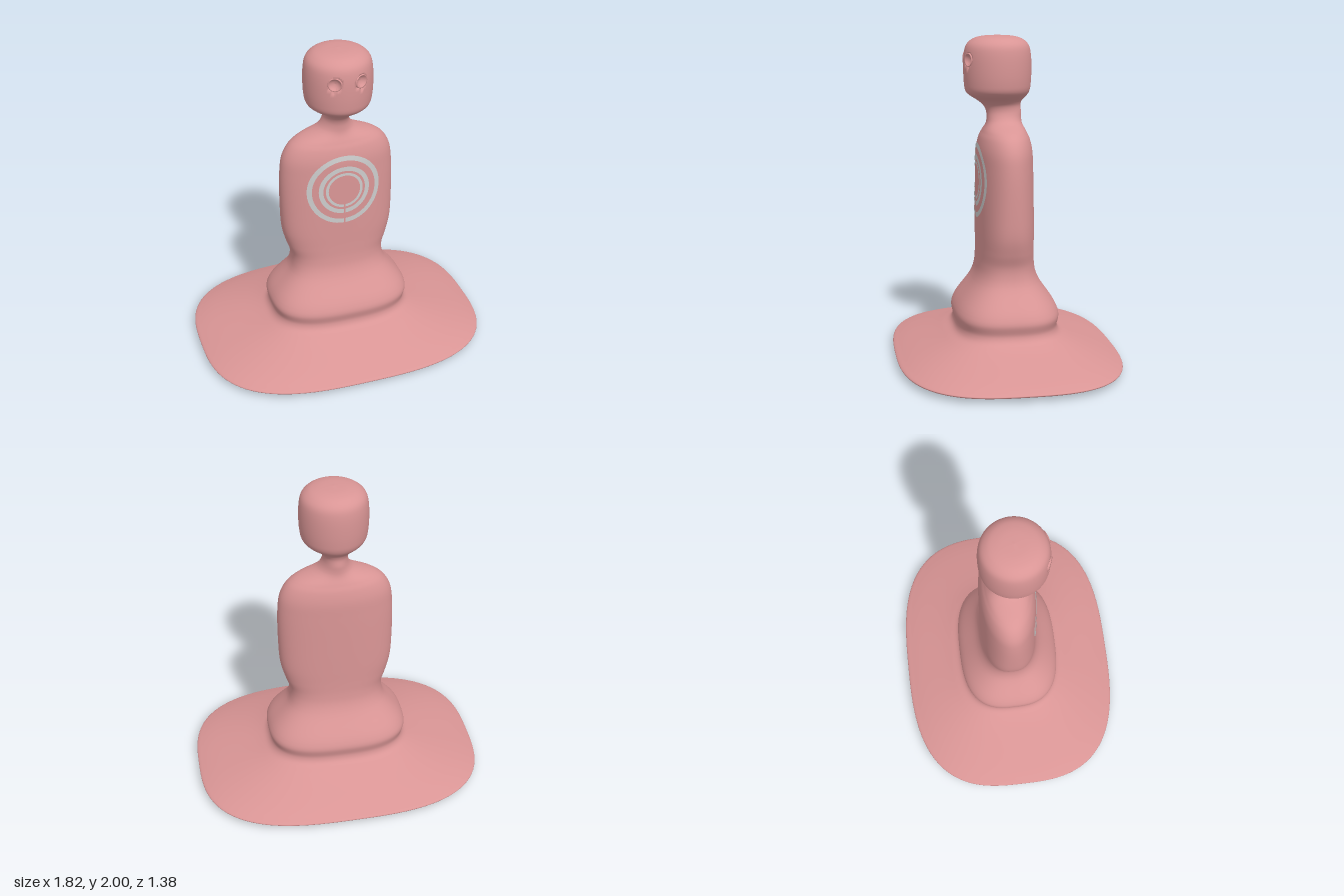
import * as THREE from 'three';

const SEG = 128, SUB = 8;
const EYE = { x: 0.08, y: 1.857 };
const HEAD_Z = 0.04;
const eyeZ = HEAD_Z + Math.sqrt(0.204 ** 2 - EYE.x ** 2);

// Body outline: height, half width, half depth
const PROFILE = [
  [0, 0.8, 0.61],
  [0.035, 0.91, 0.69],
  [0.06, 0.86, 0.645],
  [0.165, 0.51, 0.39],
  [0.2, 0.445, 0.325],
  [0.235, 0.43, 0.312],
  [0.3, 0.443, 0.322],
  [0.35, 0.425, 0.306],
  [0.5, 0.315, 0.208],
  [0.56, 0.296, 0.184],
  [0.62, 0.296, 0.175],
  [0.7, 0.322, 0.172],
  [0.8, 0.347, 0.172],
  [0.95, 0.356, 0.172],
  [1.2, 0.354, 0.17],
  [1.31, 0.338, 0.166],
  [1.38, 0.3, 0.151],
  [1.42, 0.25, 0.133],
  [1.48, 0.11, 0.108],
  [1.53, 0.078, 0.107],
  [1.57, 0.078, 0.112],
  [1.6, 0.1, 0.13],
  [1.66, 0.187, 0.193],
  [1.72, 0.203, 0.204],
  [1.88, 0.204, 0.204],
  [1.94, 0.19, 0.19],
  [1.975, 0.155, 0.155],
  [1.993, 0.1, 0.1],
  [2, 0, 0],
];

// One loop of points: squarish at the base, round at the head, which sits forward
function ring([y, a, b]) {
  const n = THREE.MathUtils.lerp(2.9, 2, THREE.MathUtils.smoothstep(y, 0, 1.5));
  const zc = HEAD_Z * THREE.MathUtils.smoothstep(y, 1.52, 1.67);
  const pts = [];
  for (let j = 0; j < SEG; j++) {
    const t = (j / SEG) * Math.PI * 2, c = Math.cos(t), s = Math.sin(t);
    const k = (Math.abs(c) ** n + Math.abs(s) ** n) ** (-1 / n);
    const p = new THREE.Vector3(a * c * k, Math.max(0, y), zc + b * s * k);
    // Hollow the head behind each eye socket
    if (Math.hypot(Math.abs(p.x) - EYE.x, p.y - EYE.y, p.z - eyeZ) < 0.036) p.z -= 0.03;
    pts.push(p.x, p.y, p.z);
  }
  return pts;
}

function bodyGeometry() {
  const spline = new THREE.CatmullRomCurve3(PROFILE.map((r) => new THREE.Vector3(...r)), false, 'centripetal');
  // Underside rows first; the doubled edge row keeps the rim crisp
  const rows = [[0, 0, 0], PROFILE[0], ...spline.getPoints((PROFILE.length - 1) * SUB).map((p) => p.toArray())];
  const index = [];
  for (let i = 0; i < rows.length - 1; i++) {
    for (let j = 0; j < SEG; j++) {
      const a = i * SEG + j, b = i * SEG + ((j + 1) % SEG);
      index.push(a, a + SEG, b, b, a + SEG, b + SEG);
    }
  }
  const g = new THREE.BufferGeometry();
  g.setAttribute('position', new THREE.Float32BufferAttribute(rows.flatMap(ring), 3));
  g.setIndex(index);
  g.computeVertexNormals();
  return g;
}

export function createModel() {
  const group = new THREE.Group();
  const pink = new THREE.MeshStandardMaterial({ color: 0xd99595 });
  const pinkThin = new THREE.MeshStandardMaterial({ color: 0xd99595, side: THREE.DoubleSide });
  const grey = new THREE.MeshStandardMaterial({ color: 0xcccccc, side: THREE.DoubleSide });

  const body = new THREE.Mesh(bodyGeometry(), pink);
  body.name = 'body';
  group.add(body);

  // Concave eye sockets
  const cup = [[0, -0.019], [0.015, -0.017], [0.028, -0.009], [0.036, 0.001], [0.04, 0.004], [0.044, -0.006]]
    .map(([r, h]) => new THREE.Vector2(r, h));
  const cupGeometry = new THREE.LatheGeometry(cup, 32).rotateX(Math.PI / 2);
  for (const side of [1, -1]) {
    const eye = new THREE.Mesh(cupGeometry, pinkThin);
    eye.name = side > 0 ? 'leftEye' : 'rightEye';
    eye.position.set(side * EYE.x, EYE.y, eyeZ);
    eye.rotation.y = side * Math.atan2(EYE.x, eyeZ - HEAD_Z);
    group.add(eye);
  }

  // Chest rings, split at the bottom and laid onto the chest surface
  const ray = new THREE.Raycaster();
  const back = new THREE.Vector3(0, 0, -1);
  for (const [inner, outer] of [[0.2, 0.23], [0.132, 0.16], [0.1, 0.117]]) {
    const gap = 0.006 / outer;
    const g = new THREE.RingGeometry(inner, outer, 64, 1, -Math.PI / 2 + gap, Math.PI * 2 - 2 * gap);
    g.translate(0, 1.117, 0);
    const p = g.attributes.position;
    for (let i = 0; i < p.count; i++) {
      ray.set(new THREE.Vector3(p.getX(i), p.getY(i), 1), back);
      p.setZ(i, ray.intersectObject(body)[0].point.z + 0.004);
    }
    g.computeVertexNormals();
    const mesh = new THREE.Mesh(g, grey);
    mesh.name = 'chestRing';
    group.add(mesh);
  }
  return group;
}
